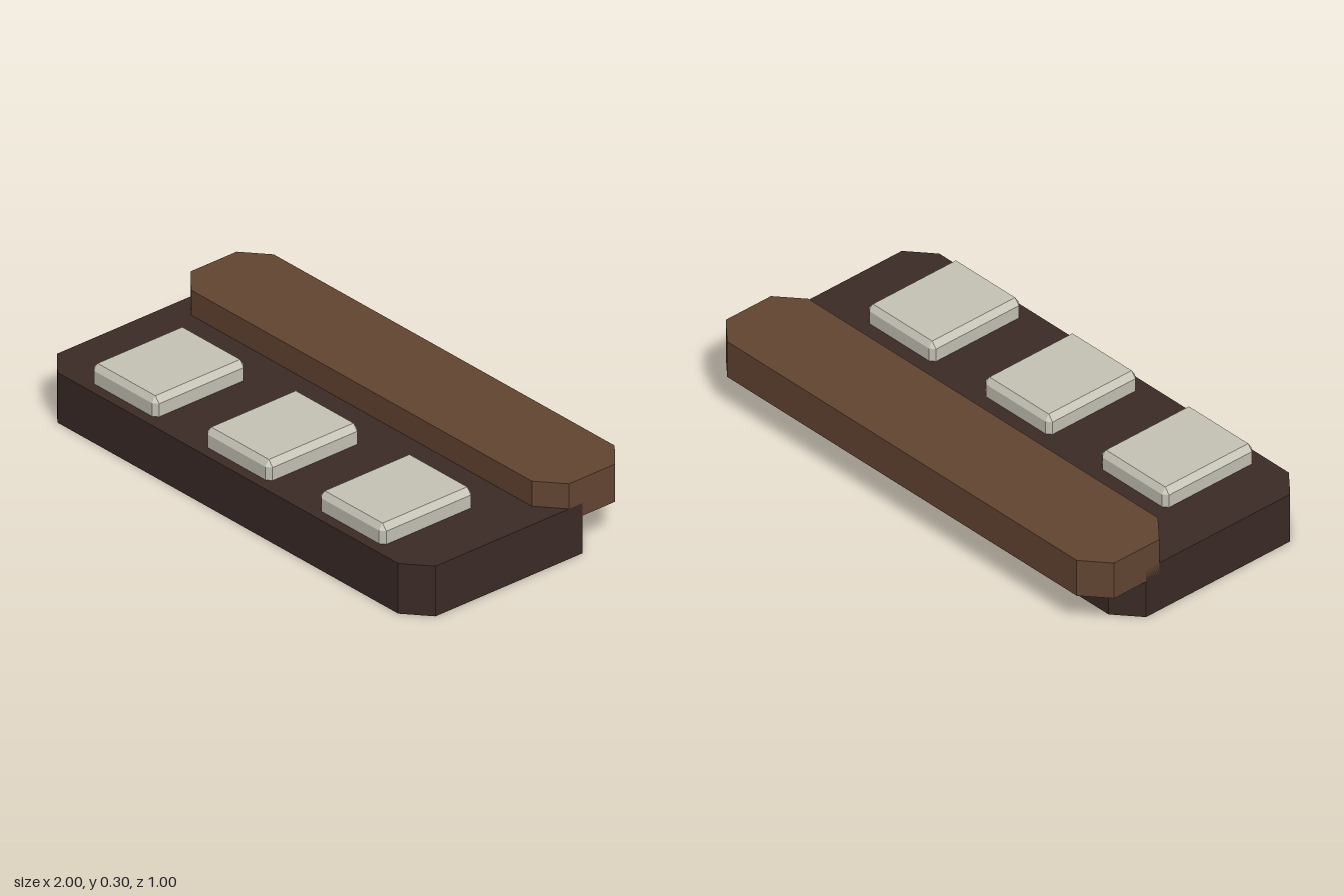
import * as THREE from 'three';
import { ConvexGeometry } from 'three/addons/geometries/ConvexGeometry.js';

const material = (color) => new THREE.MeshStandardMaterial({ color, flatShading: true });

// Horizontal slab with its four vertical corners cut off
function cutCornerSlab(name, y0, y1, zBack, zFront, color) {
  const cx = 0.1, cz = 0.085;
  const shape = new THREE.Shape([
    [-1 + cx, -zFront], [1 - cx, -zFront], [1, -zFront + cz], [1, -zBack - cz],
    [1 - cx, -zBack], [-1 + cx, -zBack], [-1, -zBack - cz], [-1, -zFront + cz],
  ].map(([x, y]) => new THREE.Vector2(x, y)));
  const geometry = new THREE.ExtrudeGeometry(shape, { depth: y1 - y0, bevelEnabled: false });
  geometry.rotateX(-Math.PI / 2).translate(0, y0, 0);
  const mesh = new THREE.Mesh(geometry, material(color));
  mesh.name = name;
  return mesh;
}

// Box with every edge chamfered
function chamferedBox(w, h, d, bx, by, bz) {
  const points = [];
  for (const sx of [-1, 1]) for (const sy of [-1, 1]) for (const sz of [-1, 1]) {
    const x = w / 2, y = h / 2, z = d / 2;
    points.push(
      new THREE.Vector3(sx * x, sy * (y - by), sz * (z - bz)),
      new THREE.Vector3(sx * (x - bx), sy * y, sz * (z - bz)),
      new THREE.Vector3(sx * (x - bx), sy * (y - by), sz * z),
    );
  }
  return new ConvexGeometry(points);
}

export function createModel() {
  const model = new THREE.Group();
  model.name = 'keyPanel';

  // Dark base and the lighter ledge overlapping its back edge
  model.add(cutCornerSlab('base', 0, 0.2, -0.35, 0.5, 0x3b2b26));
  model.add(cutCornerSlab('backLedge', 0.15, 0.3, -0.5, -0.117, 0x634532));

  // Three pale keys set into the base
  const keyGeometry = chamferedBox(0.345, 0.125, 0.423, 0.02, 0.024, 0.016);
  const keyMaterial = material(0xc5c2b5);
  ['rightKey', 'middleKey', 'leftKey'].forEach((name, i) => {
    const key = new THREE.Mesh(keyGeometry, keyMaterial);
    key.name = name;
    key.position.set((i - 1) * 0.6 - 0.002, 0.2135, 0.246);
    model.add(key);
  });
  return model;
}
